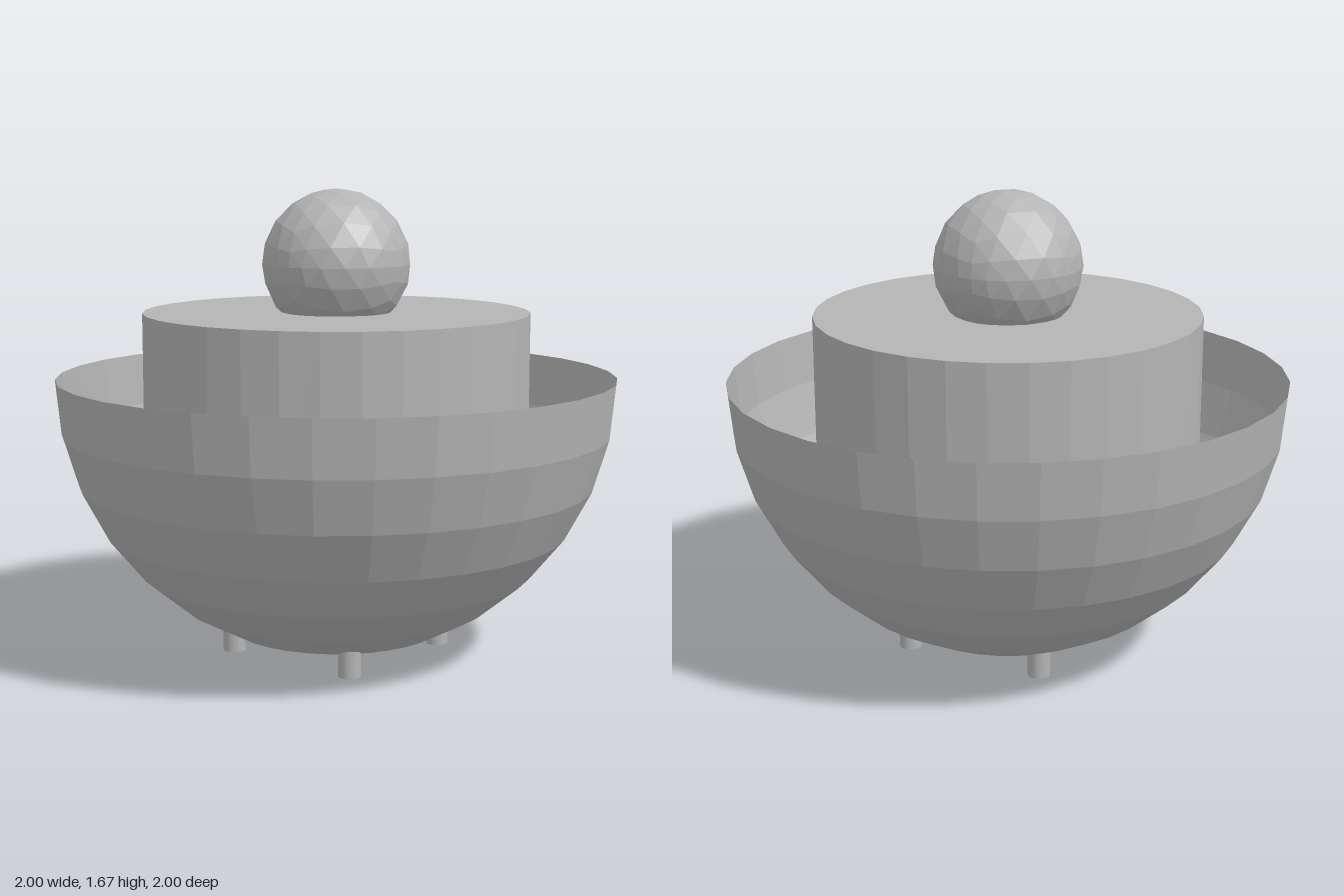
import * as THREE from 'three';

const SEGMENTS = 32;
const BOWL_CENTRE = 1.005;

export function createModel() {
  const model = new THREE.Group();
  const grey = new THREE.MeshStandardMaterial({ color: 0xb4b4b4, flatShading: true, side: THREE.DoubleSide });
  grey.name = 'plain grey';

  function add(name, geometry, x, y, z) {
    const mesh = new THREE.Mesh(geometry, grey);
    mesh.name = name;
    mesh.position.set(x, y, z);
    model.add(mesh);
  }

  // Open hemispherical bowl, a single thin shell
  add('bowl', new THREE.SphereGeometry(1, SEGMENTS, 8, 0, Math.PI * 2, Math.PI / 2, Math.PI / 2), 0, BOWL_CENTRE, 0);

  // Drum straddling the plane of the rim
  add('drum', new THREE.CylinderGeometry(0.69, 0.69, 0.46, SEGMENTS), 0, BOWL_CENTRE, 0);

  // Faceted ball sunk slightly into the drum
  add('ball', new THREE.OctahedronGeometry(0.265, 5), 0, 1.405, 0);

  // Four short pegs under the bowl
  for (const x of [-0.265, 0.265]) {
    for (const z of [-0.265, 0.265]) {
      add('foot', new THREE.CylinderGeometry(0.04, 0.04, 0.12, SEGMENTS), x, 0.06, z);
    }
  }

  return model;
}
